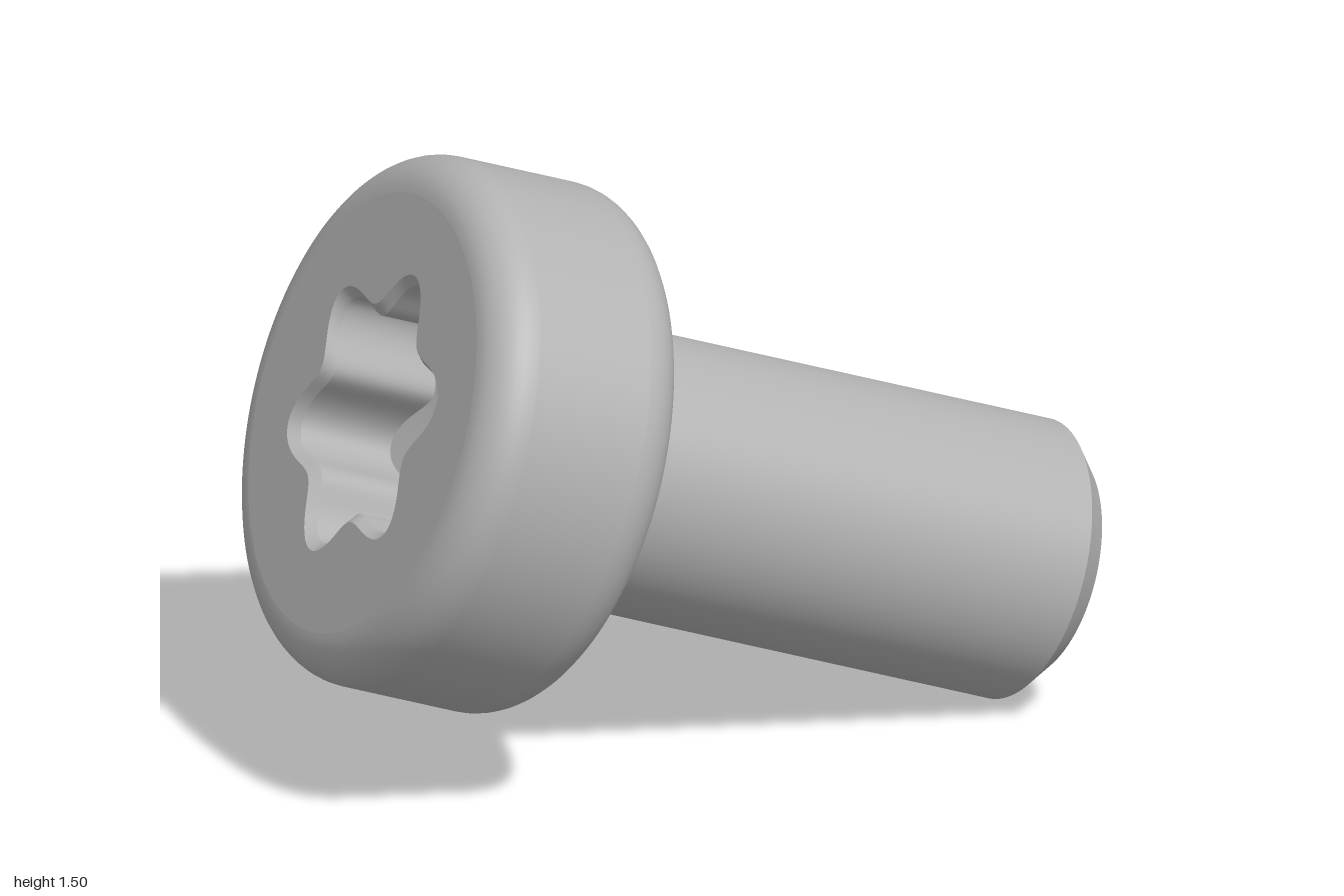
import * as THREE from 'three';

const SEG = 144;
const LENGTH = 1.345, TOP = 1.87;           // under-head plane and head top along the axis
const SHANK_R = 0.339, TIP_R = 0.273, CHAMFER = 0.066;
const HEAD_R = 0.642, FILLET = 0.11;

// Revolve one smooth piece of profile (points run outward and upward)
function revolve(name, points, material) {
  const geometry = new THREE.LatheGeometry(points.map(([r, y]) => new THREE.Vector2(r, y)), SEG);
  const mesh = new THREE.Mesh(geometry, material);
  mesh.name = name;
  return mesh;
}

// Quarter-round profile between two angles
function arc(cx, cy, radius, from, to, steps = 10) {
  return Array.from({ length: steps + 1 }, (_, i) => {
    const a = from + (to - from) * i / steps;
    return [cx + radius * Math.cos(a), cy + radius * Math.sin(a)];
  });
}

// Join two closed loops, each given as angle -> [radius, height]
function strip(name, outer, inner, material) {
  const positions = [], index = [];
  for (let i = 0; i <= SEG; i++) {
    const a = i / SEG * Math.PI * 2;
    for (const loop of [outer, inner]) {
      const [r, y] = loop(a);
      positions.push(r * Math.cos(a), y, r * Math.sin(a));
    }
    if (i < SEG) {
      const k = i * 2;
      index.push(k, k + 1, k + 2, k + 2, k + 1, k + 3);
    }
  }
  const geometry = new THREE.BufferGeometry();
  geometry.setAttribute('position', new THREE.Float32BufferAttribute(positions, 3));
  geometry.setIndex(index);
  geometry.computeVertexNormals();
  const mesh = new THREE.Mesh(geometry, material);
  mesh.name = name;
  return mesh;
}

export function createModel() {
  const steel = new THREE.MeshStandardMaterial({ color: 0xb2b2b2 });
  steel.name = 'grey steel';
  const screw = new THREE.Group();
  screw.name = 'screw';

  // Shank with chamfered tip
  const shank = new THREE.Group();
  shank.name = 'shank';
  shank.add(
    revolve('tipFace', [[0, 0], [TIP_R, 0]], steel),
    revolve('tipChamfer', [[TIP_R, 0], [SHANK_R, CHAMFER]], steel),
    revolve('shankSide', [[SHANK_R, CHAMFER], [SHANK_R, LENGTH]], steel)
  );

  // Cylindrical head, rounded on both edges
  const head = new THREE.Group();
  head.name = 'head';
  const flatR = HEAD_R - FILLET;
  head.add(
    revolve('headUnderside', [[SHANK_R, LENGTH], [flatR, LENGTH]], steel),
    revolve('lowerRound', arc(flatR, LENGTH + FILLET, FILLET, -Math.PI / 2, 0), steel),
    revolve('headSide', [[HEAD_R, LENGTH + FILLET], [HEAD_R, TOP - FILLET]], steel),
    revolve('upperRound', arc(flatR, TOP - FILLET, FILLET, 0, Math.PI / 2), steel)
  );

  // Six-lobed socket with bevelled rim and conical floor
  const star = (a, grow) => 0.288 + grow + 0.048 * Math.cos(6 * a);
  const edge = () => [flatR, TOP];
  const rimTop = (a) => [star(a, 0.024), TOP];
  const rimLow = (a) => [star(a, 0), TOP - 0.024];
  const floorEdge = (a) => [star(a, 0), TOP - 0.37 + 0.3 * star(a, 0)];
  const apex = () => [0, TOP - 0.37];
  head.add(
    strip('headTop', edge, rimTop, steel),
    strip('socketRim', rimTop, rimLow, steel),
    strip('socketWall', rimLow, floorEdge, steel),
    strip('socketFloor', floorEdge, apex, steel)
  );
  screw.add(shank, head);

  // Tilt the axis and place the tip
  const up = new THREE.Vector3(-0.81, 0.337, -0.48).normalize();
  const lobe = new THREE.Vector3(0.23, 0.934, 0.265);
  lobe.addScaledVector(up, -lobe.dot(up)).normalize();
  const side = new THREE.Vector3().crossVectors(lobe, up);
  screw.quaternion.setFromRotationMatrix(new THREE.Matrix4().makeBasis(lobe, up, side));
  screw.position.set(0.842, 0.297, 0.583);

  const model = new THREE.Group();
  model.name = 'tiltedScrew';
  model.add(screw);
  return model;
}
